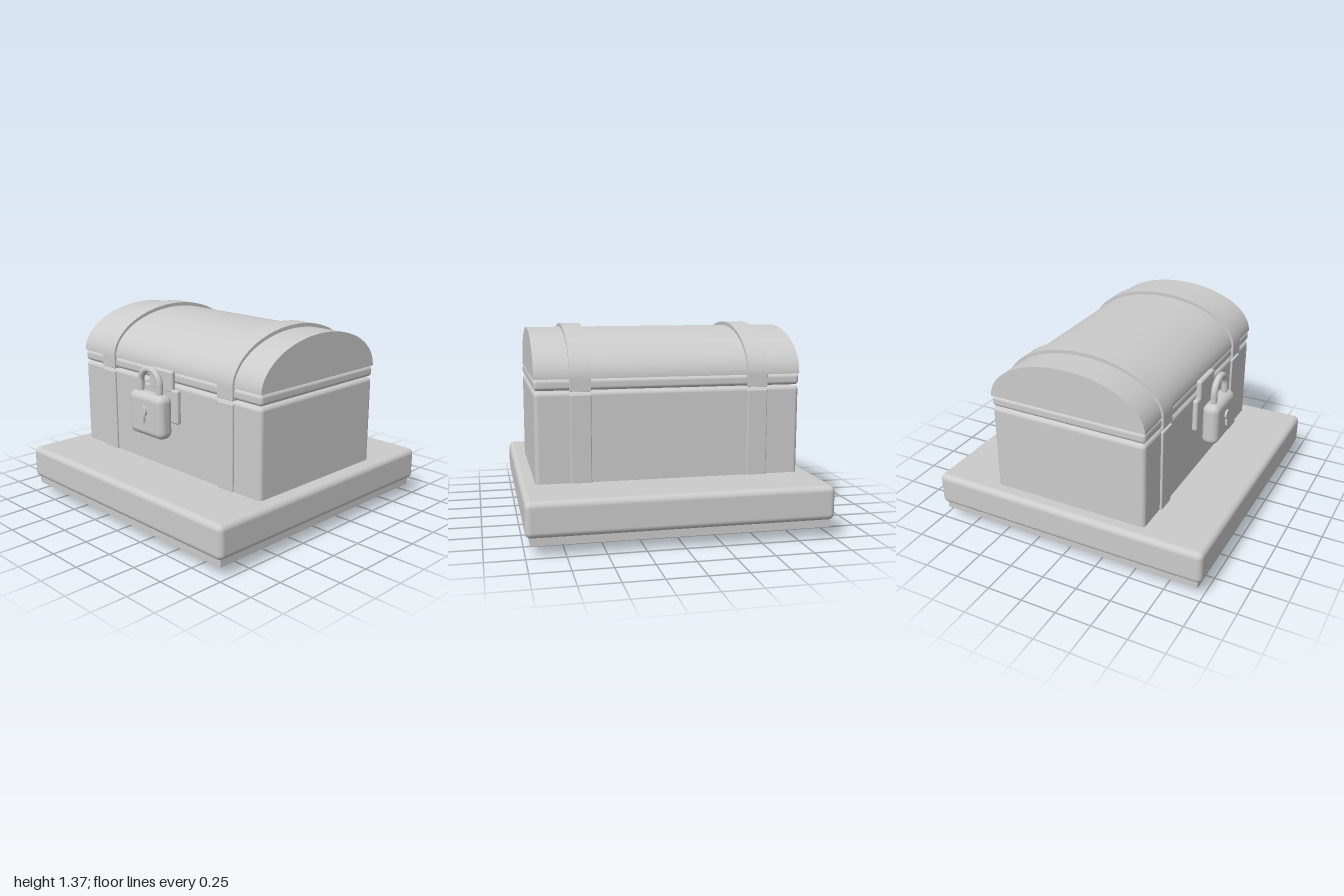
import * as THREE from 'three';
import { RoundedBoxGeometry } from 'three/addons/geometries/RoundedBoxGeometry.js';

export function createModel() {
  const root = new THREE.Group();
  const grey = new THREE.MeshStandardMaterial({ color: 0xcccccc });

  const add = (name, geometry, x = 0, y = 0, z = 0, parent = root) => {
    const mesh = new THREE.Mesh(geometry, grey);
    mesh.name = name;
    mesh.position.set(x, y, z);
    parent.add(mesh);
    return mesh;
  };

  // Rounded block given by its width, depth and vertical extent
  const block = (name, w, d, y0, y1, r, x = 0, z = 0, parent = root) =>
    add(name, new RoundedBoxGeometry(w, y1 - y0, d, 4, r), x, (y0 + y1) / 2, z, parent);

  // Half-ellipse cross-section in z/y, extruded along x
  const dome = (name, halfDepth, height, width, x, y) => {
    const shape = new THREE.Shape();
    shape.moveTo(halfDepth, 0);
    shape.absellipse(0, 0, halfDepth, height, 0, Math.PI, false);
    shape.closePath();
    const geometry = new THREE.ExtrudeGeometry(shape, { depth: width, bevelEnabled: false, curveSegments: 48 });
    geometry.translate(0, 0, -width / 2).rotateY(Math.PI / 2);
    return add(name, geometry, x, y, 0);
  };

  // Plinth with underside plate and four tapered feet
  block('plinth', 2, 2, 0.12, 0.35, 0.04);
  add('bottomPlate', new THREE.BoxGeometry(1.94, 0.1, 1.94), 0, 0.12, 0);
  for (const x of [-0.78, 0.78]) {
    for (const z of [-0.44, 0.44]) {
      add('foot', new THREE.CylinderGeometry(0.055, 0.07, 0.08, 32), x, 0.04, z);
    }
  }

  // Chest body, lid rim and domed lid
  block('chestBody', 1.8, 1.12, 0.1, 0.955, 0.03);
  block('lidRim', 1.8, 1.12, 0.96, 1.035, 0.025);
  dome('lid', 0.56, 0.305, 1.8, 0, 1.035);

  // Straps around the body and over the lid
  for (const x of [-0.6, 0.6]) {
    block('bodyStrap', 0.14, 1.15, 0.06, 0.935, 0.008, x);
    block('lidStrapBase', 0.14, 1.15, 0.955, 1.038, 0.004, x);
    dome('lidStrap', 0.575, 0.33, 0.14, x, 1.035);
  }

  // Hasp plates on the front
  block('lowerHasp', 0.34, 0.04, 0.69, 0.925, 0.015, 0, 0.575);
  block('upperHasp', 0.24, 0.04, 0.9, 1.05, 0.015, 0, 0.577);

  // Padlock
  const padlock = new THREE.Group();
  padlock.name = 'padlock';
  padlock.position.z = 0.682;
  root.add(padlock);
  block('lockBody', 0.34, 0.118, 0.605, 0.905, 0.048, 0, 0, padlock);

  // Shackle: two legs joined by a half ring
  const shackle = new THREE.CurvePath();
  const left = new THREE.Vector3(-0.097, 0.965, 0);
  const right = new THREE.Vector3(0.097, 0.965, 0);
  const arc = [];
  for (let i = 0; i <= 24; i++) {
    const a = Math.PI * (1 - i / 24);
    arc.push(new THREE.Vector3(0.097 * Math.cos(a), 0.965 + 0.097 * Math.sin(a), 0));
  }
  shackle.add(new THREE.LineCurve3(new THREE.Vector3(-0.097, 0.87, 0), left));
  shackle.add(new THREE.CatmullRomCurve3(arc));
  shackle.add(new THREE.LineCurve3(right, new THREE.Vector3(0.097, 0.87, 0)));
  add('shackle', new THREE.TubeGeometry(shackle, 64, 0.023, 16), 0, 0, 0, padlock);

  // Raised keyhole: a disc with a slot beneath it
  const keyhole = new THREE.Shape();
  keyhole.moveTo(-0.013, -0.08);
  keyhole.lineTo(0.013, -0.08);
  keyhole.absarc(0, 0, 0.034, -Math.PI / 2 + 0.39, Math.PI * 1.5 - 0.39, false);
  keyhole.closePath();
  add('keyhole', new THREE.ExtrudeGeometry(keyhole, { depth: 0.025, bevelEnabled: false, curveSegments: 24 }),
    0, 0.785, 0.049, padlock);

  return root;
}
